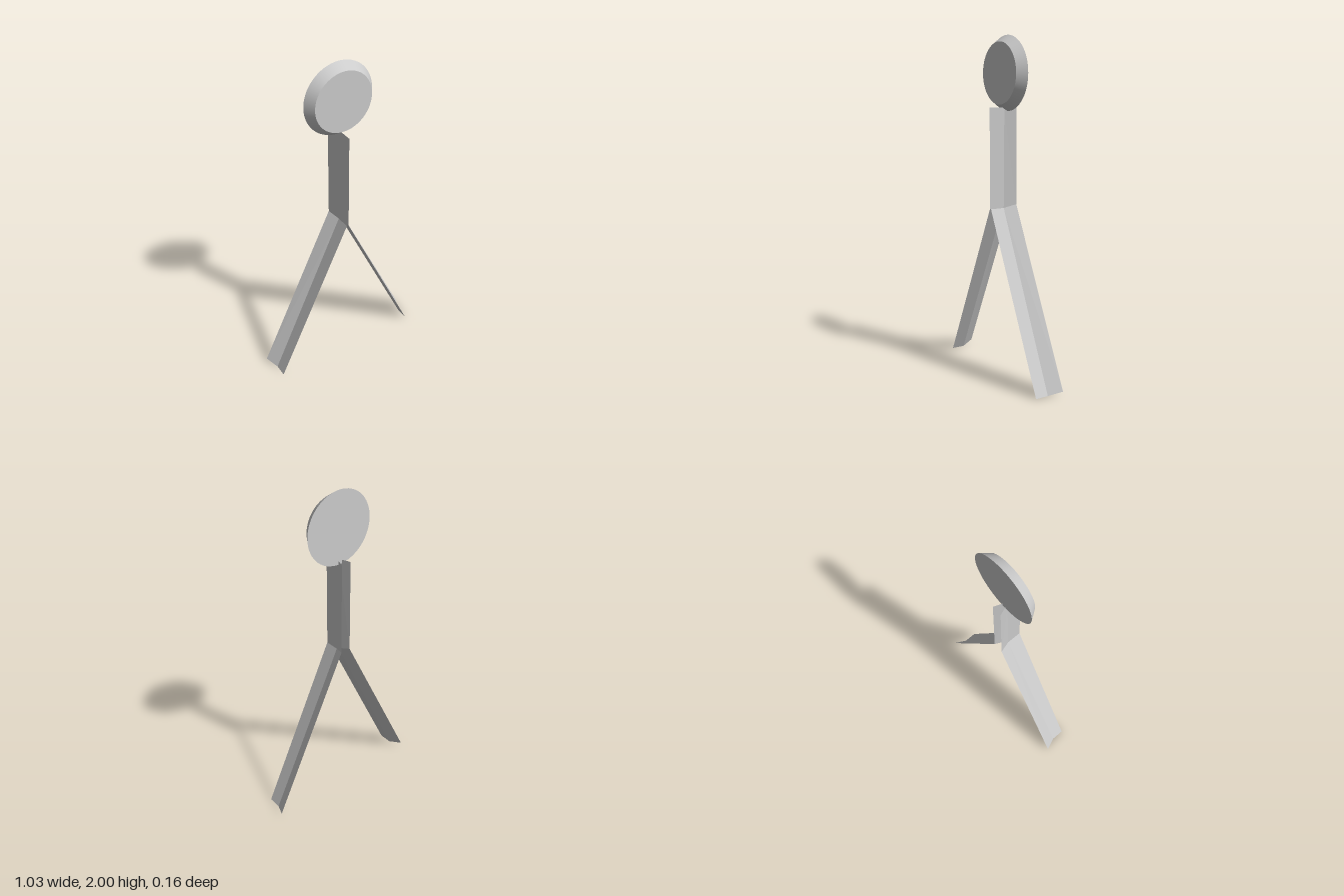
import * as THREE from 'three';

const material = new THREE.MeshStandardMaterial({ color: 0xcccccc, side: THREE.DoubleSide });
const flat = new THREE.MeshStandardMaterial({ color: 0xcccccc, side: THREE.DoubleSide, flatShading: true });

// Folded sheet: each row runs from the front edge over the crease to the flared back edge
function foldedSheet(name, rows, side) {
  const positions = [];
  const add = (...corners) => {
    if (side < 0) corners.reverse();
    for (const [x, y, z] of corners) positions.push(side * x, y, z);
  };
  for (let i = 0; i < rows.length - 1; i++) {
    for (let j = 0; j < 2; j++) {
      const a = rows[i][j], b = rows[i + 1][j], c = rows[i + 1][j + 1], d = rows[i][j + 1];
      add(a, b, c);
      add(a, c, d);
    }
  }
  const geometry = new THREE.BufferGeometry();
  geometry.setAttribute('position', new THREE.Float32BufferAttribute(positions, 3));
  geometry.computeVertexNormals();
  const mesh = new THREE.Mesh(geometry, flat);
  mesh.name = name;
  return mesh;
}

// One row: front edge and crease share x and y, the back edge is shifted outward
const row = (x, y, creaseZ, backX, backY) => [
  [x, y, 0.08], [x, y, creaseZ], [backX, backY, -0.08],
];

export function createModel() {
  const group = new THREE.Group();
  group.name = 'forkedPin';

  // Upright stem and splayed leg, mirrored left and right
  const top = row(0.006, 1.59, -0.012, 0.031, 1.59);
  const elbow = row(0.006, 1.0, -0.008, 0.031, 1.02);
  const foot = row(0.48, 0, 0, 0.514, 0.02);
  for (const [label, side] of [['left', 1], ['right', -1]]) {
    group.add(foldedSheet(label + 'Stem', [top, elbow], side));
    group.add(foldedSheet(label + 'Leg', [elbow, foot], side));
  }

  // Bevelled disc head, narrower at the front
  const geometry = new THREE.CylinderGeometry(0.178, 0.216, 0.055, 64);
  geometry.rotateX(Math.PI / 2);
  const head = new THREE.Mesh(geometry, material);
  head.name = 'head';
  head.position.set(0.007, 1.784, -0.0025);
  group.add(head);

  return group;
}
